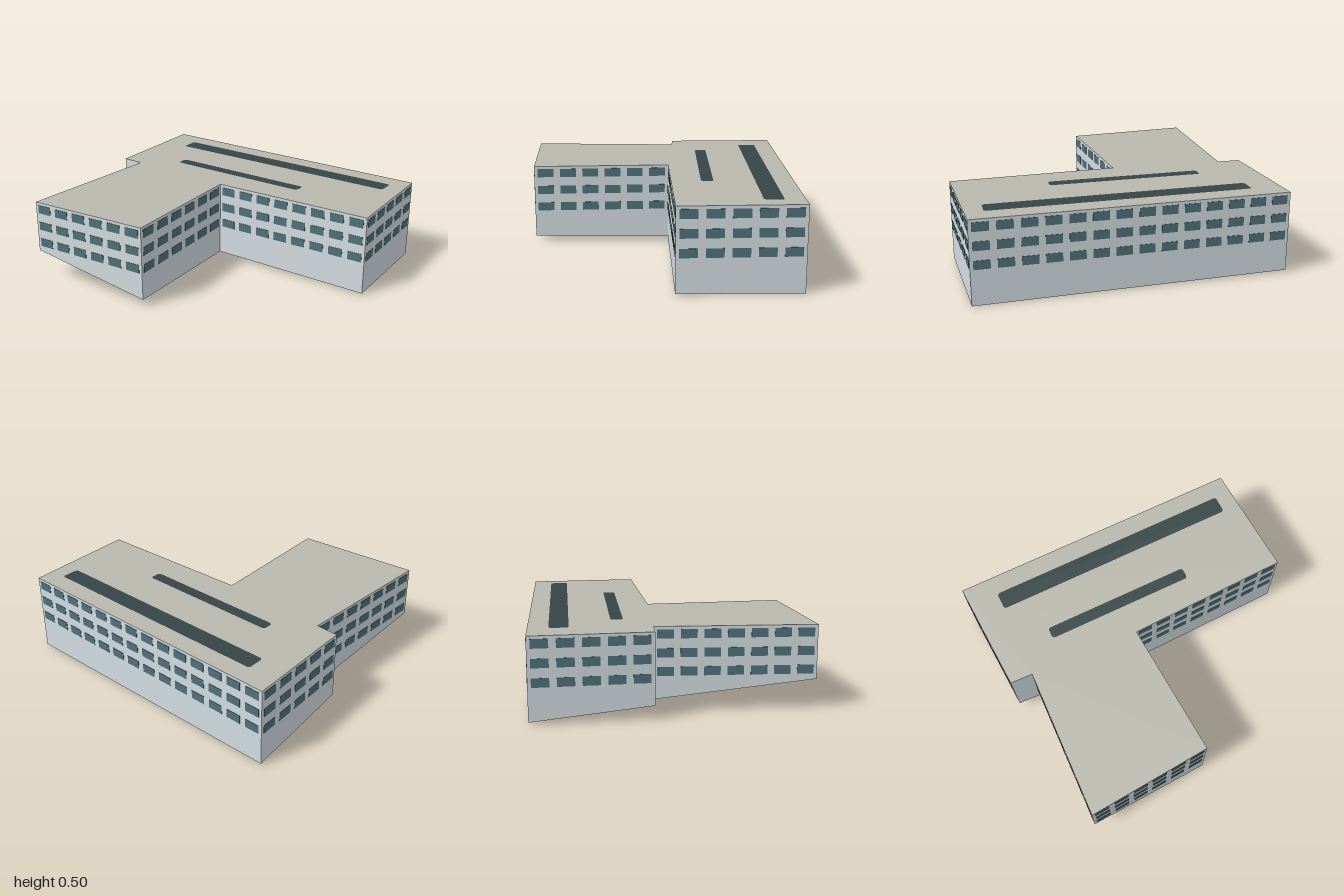
import * as THREE from 'three';
import { mergeGeometries } from 'three/addons/utils/BufferGeometryUtils.js';

const mat = (name, color) => {
  const m = new THREE.MeshStandardMaterial({ color });
  m.name = name;
  return m;
};

// Footprint corners, clockwise from above: x, z and ground height there
const CORNERS = [
  [-1.0, -0.64, 0.015], [0.84, -0.97, 0.0], [1.0, -0.27, 0.01], [-0.01, -0.06, 0.028],
  [0.19, 0.775, 0.045], [-0.575, 0.97, 0.18], [-0.705, 0.03, 0.075], [-0.845, 0.05, 0.08],
];
// Facets of the sloping underside; the flat roof shares them
const FACETS = [[0, 1, 2], [0, 2, 3], [0, 3, 4], [0, 4, 6], [4, 5, 6], [0, 6, 7]];
const ROOF = 0.504;
const WINDOW_ROWS = [0.24, 0.35, 0.46];
const WINDOW_PITCH = 0.128;

function fromTriangles(points) {
  const g = new THREE.BufferGeometry();
  g.setAttribute('position', new THREE.Float32BufferAttribute(points.flat(), 3));
  g.computeVertexNormals();
  return g;
}

// Thin flat roof strip with clipped corners, running between two end points
function roofStrip(x0, z0, x1, z1, width) {
  const l = Math.hypot(x1 - x0, z1 - z0) / 2, w = width / 2, c = 0.012;
  const shape = new THREE.Shape([
    [-l + c, -w], [l - c, -w], [l, -w + c], [l, w - c],
    [l - c, w], [-l + c, w], [-l, w - c], [-l, -w + c],
  ].map(([x, y]) => new THREE.Vector2(x, y)));
  return new THREE.ShapeGeometry(shape)
    .rotateX(-Math.PI / 2)
    .rotateY(-Math.atan2(z1 - z0, x1 - x0))
    .translate((x0 + x1) / 2, ROOF + 0.001, (z0 + z1) / 2);
}

export function createModel() {
  const model = new THREE.Group();
  model.name = 'building';
  const wallMat = mat('paleGreyWall', 0xd2dce1);
  const roofMat = mat('roofGrey', 0xb8b8ad);
  const glassMat = mat('windowGlass', 0x50717a);
  const stripMat = mat('darkRoofStrip', 0x374546);
  const baseMat = mat('undersideGrey', 0xcccfd1);
  const add = (name, geometry, material) => {
    const mesh = new THREE.Mesh(geometry, material);
    mesh.name = name;
    model.add(mesh);
  };

  // Flat roof and sloping underside
  const roofPoint = (i) => [CORNERS[i][0], ROOF, CORNERS[i][1]];
  const basePoint = (i) => [CORNERS[i][0], CORNERS[i][2], CORNERS[i][1]];
  add('roof', fromTriangles(FACETS.flatMap(([a, b, c]) => [a, c, b].map(roofPoint))), roofMat);
  add('underside', fromTriangles(FACETS.flatMap((f) => f.map(basePoint))), baseMat);

  // Walls, each with three rows of evenly spaced windows
  CORNERS.forEach(([ax, az], i) => {
    const j = (i + 1) % CORNERS.length;
    const [bx, bz] = CORNERS[j];
    const a = basePoint(i), b = basePoint(j), aTop = roofPoint(i), bTop = roofPoint(j);
    add(`wall${i + 1}`, fromTriangles([b, a, aTop, b, aTop, bTop]), wallMat);

    const length = Math.hypot(bx - ax, bz - az);
    const count = Math.floor(length / WINDOW_PITCH);
    if (count < 2) return;
    const angle = Math.atan2(bz - az, -(bx - ax));
    const panes = [];
    for (const y of WINDOW_ROWS) {
      for (let k = 0; k < count; k++) {
        const t = (k + 0.5) / count;
        panes.push(new THREE.BoxGeometry((length / count) * 0.71, 0.053, 0.004)
          .rotateY(angle)
          .translate(ax + (bx - ax) * t, y, az + (bz - az) * t));
      }
    }
    add(`windows${i + 1}`, mergeGeometries(panes), glassMat);
  });

  // Long dark strips on the roof
  add('longRoofStrip', roofStrip(-0.78, -0.5, 0.77, -0.78, 0.114), stripMat);
  add('shortRoofStrip', roofStrip(-0.53, -0.2, 0.4, -0.365, 0.074), stripMat);
  return model;
}
